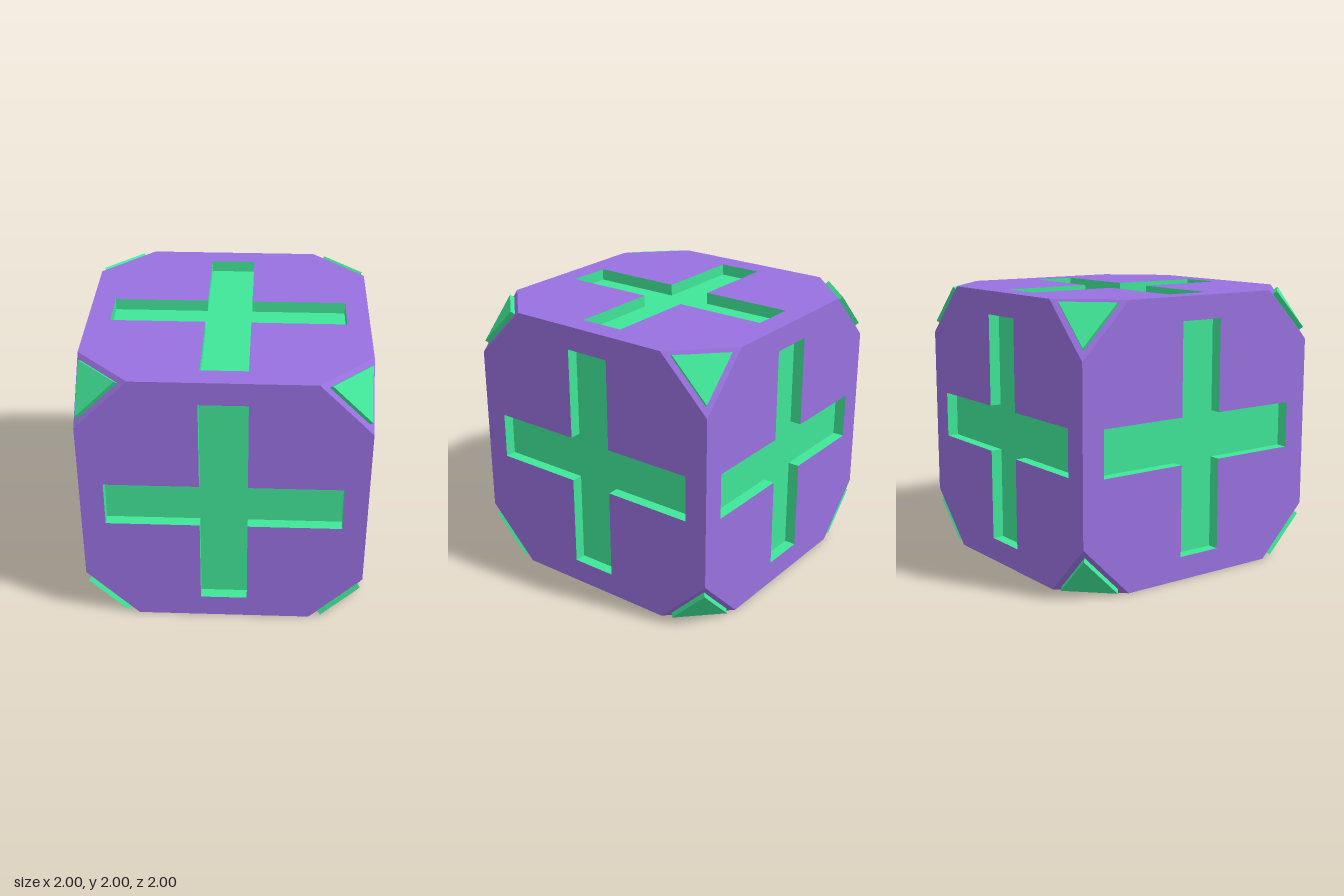
import * as THREE from 'three';

const CUT = 0.375;         // length cut off each cube edge at a corner
const DEPTH = 1 / 12;      // depth of the cross recesses
const PAD_HEIGHT = 0.036;  // thickness of the corner pads
const PAD_SCALE = 0.74;    // pad size relative to the cut corner

const purple = new THREE.MeshStandardMaterial({ color: 0x9971e0, flatShading: true });
const green = new THREE.MeshStandardMaterial({ color: 0x40e698, flatShading: true });

// Counter-clockwise outline of a plus sign with half length l and half width w
function crossPoints(l, w) {
  return [
    [l, -w], [l, w], [w, w], [w, l], [-w, l], [-w, w],
    [-l, w], [-l, -w], [-w, -w], [-w, -l], [w, -l], [w, -w],
  ].map(([x, y]) => new THREE.Vector2(x, y));
}

// Square with cut corners
function octagonPoints() {
  const k = 1 - CUT;
  return [[1, -k], [1, k], [k, 1], [-k, 1], [-1, k], [-1, -k], [-k, -1], [k, -1]]
    .map(([x, y]) => new THREE.Vector2(x, y));
}

// Walls of a recess, facing into it
function recessWalls(points) {
  const pos = [];
  const lo = 1 - DEPTH;
  points.forEach((a, i) => {
    const b = points[(i + 1) % points.length];
    pos.push(a.x, a.y, 1, b.x, b.y, 1, a.x, a.y, lo);
    pos.push(b.x, b.y, 1, b.x, b.y, lo, a.x, a.y, lo);
  });
  const geometry = new THREE.BufferGeometry();
  geometry.setAttribute('position', new THREE.Float32BufferAttribute(pos, 3));
  geometry.computeVertexNormals();
  return geometry;
}

function addMesh(parent, name, geometry, material) {
  const mesh = new THREE.Mesh(geometry, material);
  mesh.name = name;
  parent.add(mesh);
  return mesh;
}

// One cube side with its cross recess, facing +z
function makeSide(name, halfLength, halfWidth) {
  const side = new THREE.Group();
  side.name = name;
  const cross = crossPoints(halfLength, halfWidth);
  const panel = new THREE.Shape(octagonPoints());
  panel.holes.push(new THREE.Path(cross));
  addMesh(side, 'panel', new THREE.ShapeGeometry(panel), purple).position.z = 1;
  addMesh(side, 'crossFloor', new THREE.ShapeGeometry(new THREE.Shape(cross)), green)
    .position.z = 1 - DEPTH;
  addMesh(side, 'crossWalls', recessWalls(cross), green);
  return side;
}

// Cut corner with a raised triangular pad, for the octant given by the signs
function makeCorner(sx, sy, sz) {
  const corner = new THREE.Group();
  corner.name = 'corner';
  const radius = CUT * Math.sqrt(2 / 3);
  const face = new THREE.CircleGeometry(radius, 3, Math.PI / 2).rotateX(-Math.PI / 2).rotateY(Math.PI);
  addMesh(corner, 'cornerFace', face, purple);
  const pad = new THREE.CylinderGeometry(radius * PAD_SCALE, radius * PAD_SCALE, PAD_HEIGHT, 3);
  addMesh(corner, 'cornerPad', pad, green).position.y = PAD_HEIGHT / 2;

  // local y points outward, local z at one tip of the triangle
  const outward = new THREE.Vector3(sx, sy, sz).normalize();
  const tip = new THREE.Vector3(sx, sy, -2 * sz).normalize();
  const across = new THREE.Vector3().crossVectors(outward, tip);
  corner.quaternion.setFromRotationMatrix(new THREE.Matrix4().makeBasis(across, outward, tip));
  corner.position.set(sx, sy, sz).multiplyScalar(1 - CUT / 3);
  return corner;
}

export function createModel() {
  const model = new THREE.Group();
  model.name = 'cube';
  const body = new THREE.Group();
  body.name = 'body';
  body.position.y = 1;
  model.add(body);

  // four upright sides
  ['frontSide', 'leftSide', 'backSide', 'rightSide'].forEach((name, i) => {
    const side = makeSide(name, 0.831, 0.168);
    side.rotation.y = i * Math.PI / 2;
    body.add(side);
  });

  // top and bottom, with slightly slimmer crosses
  [['topSide', -1], ['bottomSide', 1]].forEach(([name, s]) => {
    const side = makeSide(name, 0.838, 0.163);
    side.rotation.x = s * Math.PI / 2;
    body.add(side);
  });

  // eight corners
  for (const sx of [-1, 1])
    for (const sy of [-1, 1])
      for (const sz of [-1, 1]) body.add(makeCorner(sx, sy, sz));

  return model;
}
